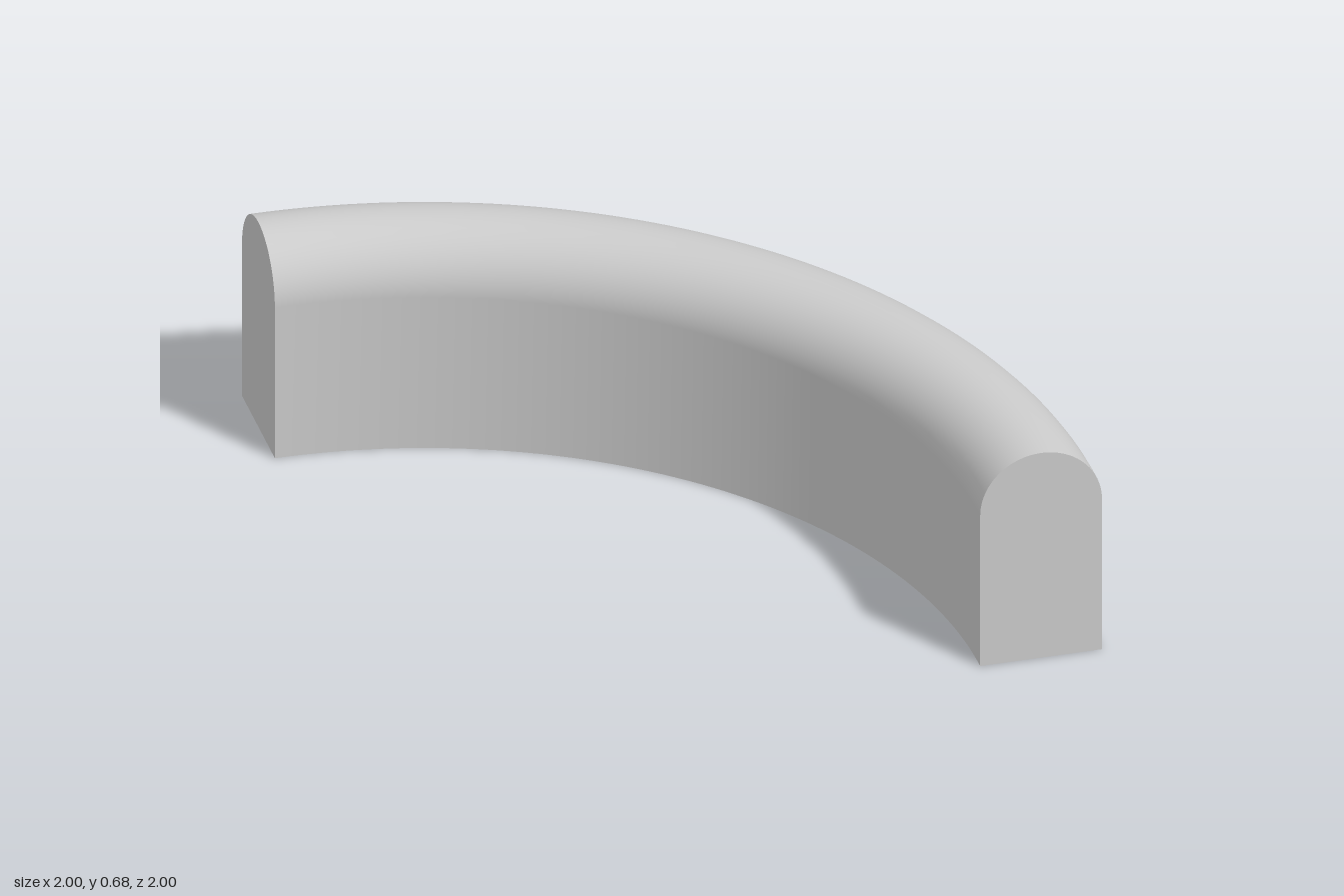
import * as THREE from 'three';

const OUTER = 2, INNER = 1.64, SPRING = 0.5, WALL = 0.04;
const MID = (OUTER + INNER) / 2, HALF = (OUTER - INNER) / 2;

// Round-topped profile from the outer foot, over the top, to the inner foot
function archProfile(half) {
  const points = [new THREE.Vector2(MID + half, 0)];
  for (let i = 0; i <= 24; i++) {
    const a = (i / 24) * Math.PI;
    points.push(new THREE.Vector2(MID + half * Math.cos(a), SPRING + half * Math.sin(a)));
  }
  points.push(new THREE.Vector2(MID - half, 0));
  return points;
}

export function createModel() {
  const group = new THREE.Group();
  group.name = 'quarterRingCover';
  const grey = new THREE.MeshStandardMaterial({ color: 0xcccccc, side: THREE.DoubleSide });
  grey.name = 'light grey';

  const add = (name, geometry) => {
    const mesh = new THREE.Mesh(geometry, grey);
    mesh.name = name;
    mesh.position.set(-1, 0, 1); // centre of the bend
    group.add(mesh);
    return mesh;
  };
  const sweep = (points) => new THREE.LatheGeometry(points, 64, Math.PI / 2, Math.PI / 2);

  // Outer skin and the hollow inside, open at the bottom
  add('outerShell', sweep(archProfile(HALF)));
  add('innerShell', sweep(archProfile(HALF - WALL).reverse()));

  // Flat bottom edges of the two walls
  for (const [name, r] of [['innerWallRim', INNER], ['outerWallRim', OUTER - WALL]]) {
    add(name, sweep([new THREE.Vector2(r, 0), new THREE.Vector2(r + WALL, 0)]));
  }

  // Thin end plates
  const cap = new THREE.ShapeGeometry(new THREE.Shape(archProfile(HALF)));
  add('frontEndCap', cap);
  add('leftEndCap', cap).rotation.y = Math.PI / 2;

  return group;
}
